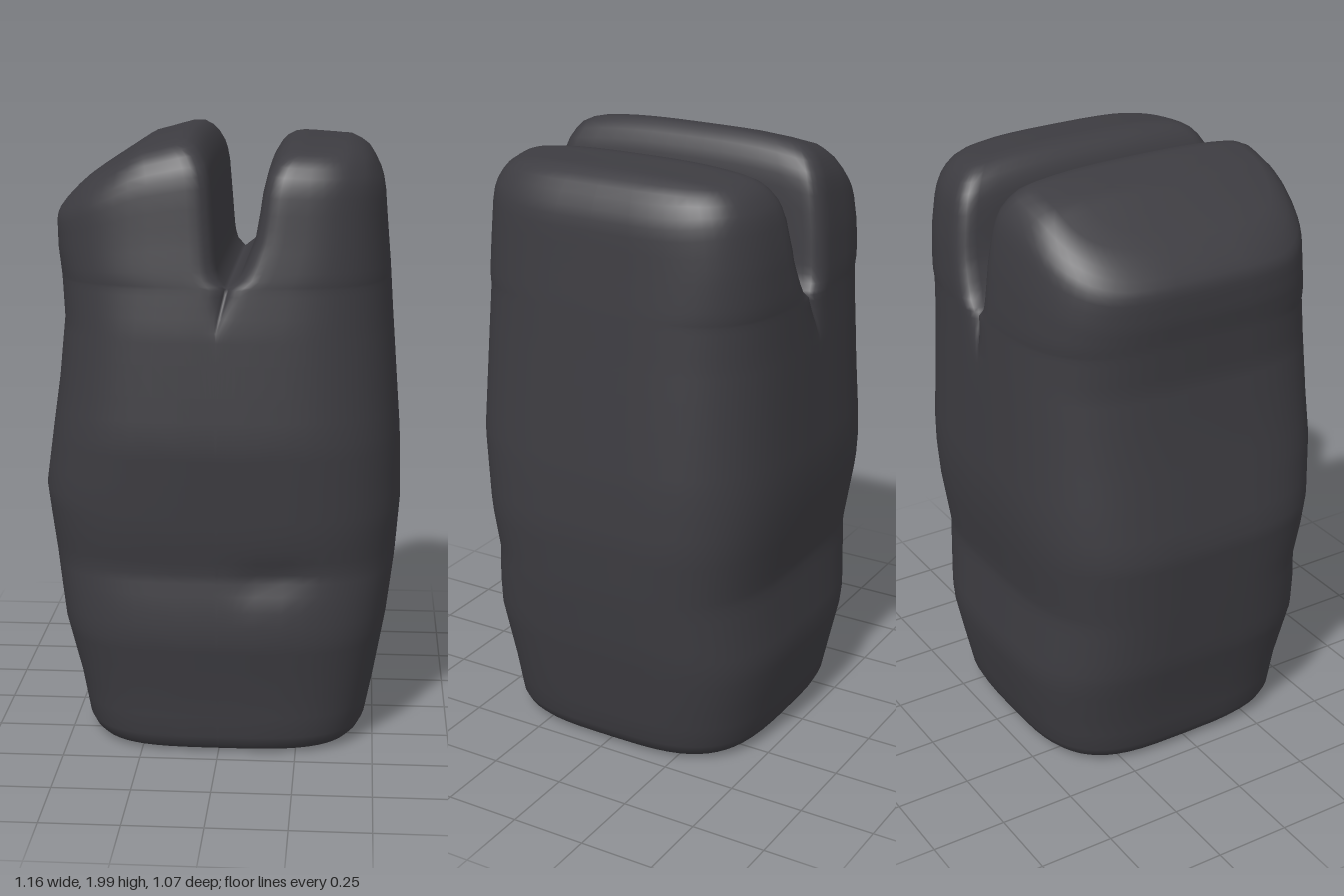
import * as THREE from 'three';
import { mergeVertices } from 'three/addons/utils/BufferGeometryUtils.js';

// linear interpolation in a list of [position, value] pairs
function lerpTable(t, v) {
  if (v <= t[0][0]) return t[0][1];
  for (let i = 1; i < t.length; i++) {
    if (v <= t[i][0]) {
      const [a, fa] = t[i - 1], [b, fb] = t[i];
      return fa + (fb - fa) * (v - a) / (b - a);
    }
  }
  return t[t.length - 1][1];
}

const FLOOR = 1.53; // bottom of the slot

// silhouettes by height: depth to the front and back
const front = [[0, .455], [.05, .46], [.2, .475], [.4, .51], [.5, .507], [.62, .493], [.75, .515], [1.05, .54], [1.4, .52], [1.7, .488], [1.85, .475], [2, .465]];
const back = [[0, .445], [.05, .455], [.2, .485], [.33, .51], [.6, .49], [.8, .52], [.95, .535], [1.3, .525], [1.6, .515], [1.75, .505], [1.9, .485], [2, .475]];

// each half: outer width by height, slot wall by height, crown height by x
const halves = [
  {
    side: 1,
    outer: [[0, .465], [.05, .475], [.2, .505], [.4, .54], [.6, .565], [.8, .58], [1, .575], [1.4, .545], [1.7, .525], [1.86, .515], [2, .51]],
    wall: [[0, 0], [1.4, 0], [1.53, .03], [1.56, .065], [1.62, .09], [1.7, .115], [1.8, .13], [1.9, .142], [2, .145]],
    crown: [[.12, 1.965], [.22, 1.965], [.4, 1.952], [.46, 1.935], [.52, 1.89]],
  },
  {
    side: -1,
    outer: [[0, -.445], [.05, -.455], [.2, -.482], [.4, -.53], [.6, -.555], [.85, -.585], [1.2, -.535], [1.4, -.515], [1.55, -.525], [1.7, -.535], [2, -.54]],
    wall: [[0, 0], [1.4, 0], [1.53, .03], [1.56, .005], [1.6, -.005], [1.75, -.015], [1.9, -.025], [2, -.028]],
    crown: [[-.55, 1.77], [-.5, 1.79], [-.42, 1.85], [-.25, 1.96], [-.1, 2], [0, 2]],
  },
];

// rows: height, base scale, top inset, top scale
const rows = [[0, 0, 0, 1], [0, .5, 0, 1], [.003, .9, 0, 1], [.012, .95, 0, 1], [.03, .98, 0, 1], [.06, 1, 0, 1]];
for (const y of [.13, .2, .3, .36, .4, .45, .5, .55, .59, .62, .66, .7, .75, .8, .85, .92, 1, 1.05, 1.12, 1.2, 1.3,
  1.37, 1.4, 1.44, 1.48, 1.51, FLOOR, 1.54, 1.56, 1.59, 1.62, 1.66, 1.7, 1.75, 1.8, 1.86]) rows.push([y, 1, 0, 1]);
rows.push([1.9, 1, .004, 1], [1.93, 1, .012, 1], [1.96, 1, .028, 1], [1.98, 1, .046, 1], [1.993, 1, .07, 1],
  [2, 1, .1, 1], [2, 1, .1, .75], [2, 1, .1, .45], [2, 1, .1, .2], [2, 1, .1, 0]);

// fractions across the width, from the slot out to the side
const POWER = 3.5;
const across = [0, .012, .03, .055, .09, .14];
for (let i = 0; i <= 14; i++) across.push(Math.pow(Math.max(0, Math.cos((86 - i * 86 / 14) * Math.PI / 180)), 2 / POWER));
across[across.length - 1] = 1;
const WALL_STEPS = 12;

function ringOf(half, [y, base, inset, topScale]) {
  const wall = lerpTable(half.wall, y);
  const outer = wall + (lerpTable(half.outer, y) - wall) * base;
  const gate = THREE.MathUtils.smoothstep(y, 1.38, 1.6);
  const pts = [];
  const arcPoint = (u, sign) => {
    const depth = lerpTable(sign > 0 ? front : back, y) * base;
    const x = wall + (outer - wall) * u;
    let z = depth * Math.pow(Math.max(0, 1 - Math.pow(u, POWER)), 1 / POWER);
    // rounded corner where the slot opens
    const r = .06, d = Math.min(r, Math.abs(x - wall));
    z -= gate * (r - Math.sqrt(r * r - (r - d) * (r - d)));
    // shallow dent low on the front
    if (sign > 0) z -= .018 * base * Math.exp(-(((x - .17) / .1) ** 2) - ((y - .6) / .05) ** 2);
    return [x, sign * z];
  };
  across.forEach((u) => pts.push(arcPoint(u, 1)));
  across.slice(0, -1).reverse().forEach((u) => pts.push(arcPoint(u, -1)));
  // slot wall, running from back to front
  const zb = pts[pts.length - 1][1], zf = pts[0][1];
  for (let i = 1; i < WALL_STEPS; i++) pts.push([wall, zb + (zf - zb) * i / WALL_STEPS]);

  // inset towards the lobe's middle, then lift to the crown
  const cx = (wall + outer) / 2, hw = Math.abs(outer - wall) / 2;
  const kx = hw ? (1 - inset / hw) * topScale : 1, kz = (1 - inset / .48) * topScale;
  return pts.map(([px, pz]) => {
    const x = inset ? cx + (px - cx) * kx : px;
    const z = inset ? pz * kz : pz;
    let h = y;
    if (y > 1.55) {
      const top = lerpTable(half.crown, x) - .03 * Math.pow(Math.abs(z) / .42, 3);
      h = 1.55 + (y - 1.55) * (top - 1.55) / .45;
    }
    return [x, h, z];
  });
}

function buildBlock() {
  const position = [], index = [];
  const arc = across.length * 2 - 1;
  const n = arc + WALL_STEPS - 1;
  for (const half of halves) {
    const start = position.length / 3;
    rows.forEach((row) => ringOf(half, row).forEach((p) => position.push(...p)));
    for (let i = 0; i < rows.length - 1; i++) {
      // below the slot the two halves join and need no inner wall
      const count = rows[i][0] >= FLOOR ? n : arc - 1;
      for (let j = 0; j < count; j++) {
        const a = start + i * n + j, b = start + i * n + (j + 1) % n;
        const c = b + n, d = a + n;
        if (half.side > 0) index.push(a, b, c, a, c, d);
        else index.push(a, c, b, a, d, c);
      }
    }
  }
  let geo = new THREE.BufferGeometry();
  geo.setAttribute('position', new THREE.Float32BufferAttribute(position, 3));
  geo.setIndex(index);
  geo = mergeVertices(geo, 1e-4);
  geo.computeVertexNormals();
  return geo;
}

export function createModel() {
  const group = new THREE.Group();
  group.name = 'slottedStone';
  const stone = new THREE.MeshStandardMaterial({ color: 0x3d3c41 });
  stone.name = 'dark stone';
  const block = new THREE.Mesh(buildBlock(), stone);
  block.name = 'stoneBlock';
  group.add(block);
  return group;
}
